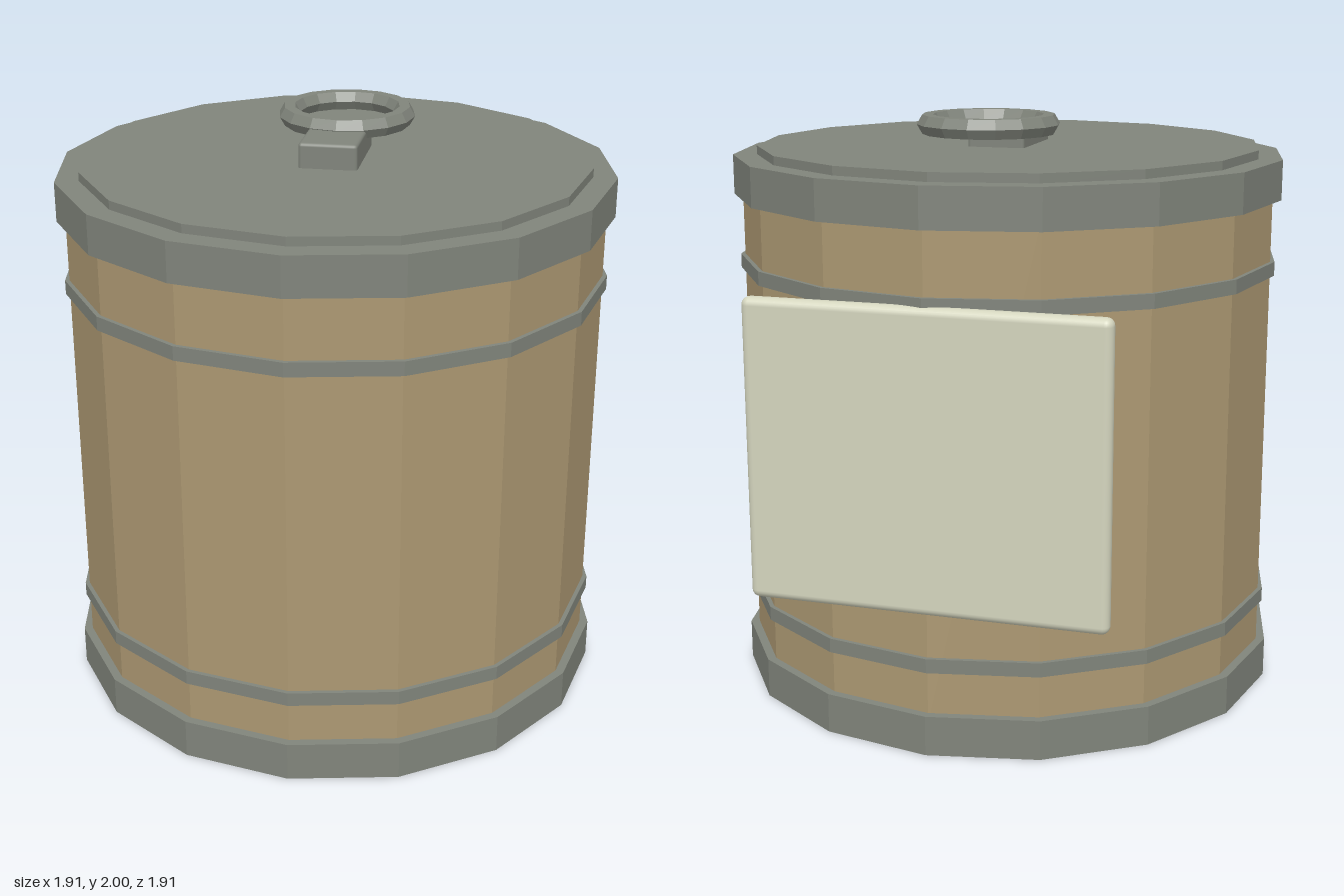
import * as THREE from 'three';
import { RoundedBoxGeometry } from 'three/addons/geometries/RoundedBoxGeometry.js';

const SIDES = 16;

function flat(geometry) {
  const g = geometry.index ? geometry.toNonIndexed() : geometry;
  g.computeVertexNormals();
  return g;
}

export function createModel() {
  const model = new THREE.Group();
  model.name = 'canister';

  const material = (name, color) => {
    const m = new THREE.MeshStandardMaterial({ color });
    m.name = name;
    return m;
  };
  const tan = material('tan', 0xac9872);
  const grey = material('grey', 0x80847b);
  const cream = material('cream', 0xd4d5be);

  const add = (name, geometry, mat, x = 0, y = 0, z = 0) => {
    const mesh = new THREE.Mesh(geometry, mat);
    mesh.name = name;
    mesh.position.set(x, y, z);
    model.add(mesh);
    return mesh;
  };

  // Faceted drum between two heights
  const drum = (name, radius, y0, y1, mat) =>
    add(name, flat(new THREE.CylinderGeometry(radius, radius, y1 - y0, SIDES)), mat, 0, (y0 + y1) / 2, 0);

  drum('body', 0.925, 0.1, 1.75, tan);
  drum('bottomRim', 0.955, 0, 0.135, grey);
  drum('lowerBand', 0.94, 0.28, 0.328, grey);
  drum('upperBand', 0.94, 1.457, 1.505, grey);
  drum('topRim', 0.955, 1.715, 1.85, grey);
  drum('lid', 0.873, 1.84, 1.88, grey);

  // Pull tab block and ring on the lid
  add('tabBlock', new RoundedBoxGeometry(0.2, 0.105, 0.326, 2, 0.012), grey, 0, 1.913, 0);
  const ring = flat(new THREE.TorusGeometry(0.204, 0.037, 6, SIDES).rotateX(Math.PI / 2));
  add('pullRing', ring, grey, 0, 1.968, -0.24);

  // Blank label plate on the back
  add('labelPlate', new RoundedBoxGeometry(1.2, 1, 0.06, 3, 0.027), cream, 0, 0.978, -0.925);

  return model;
}
